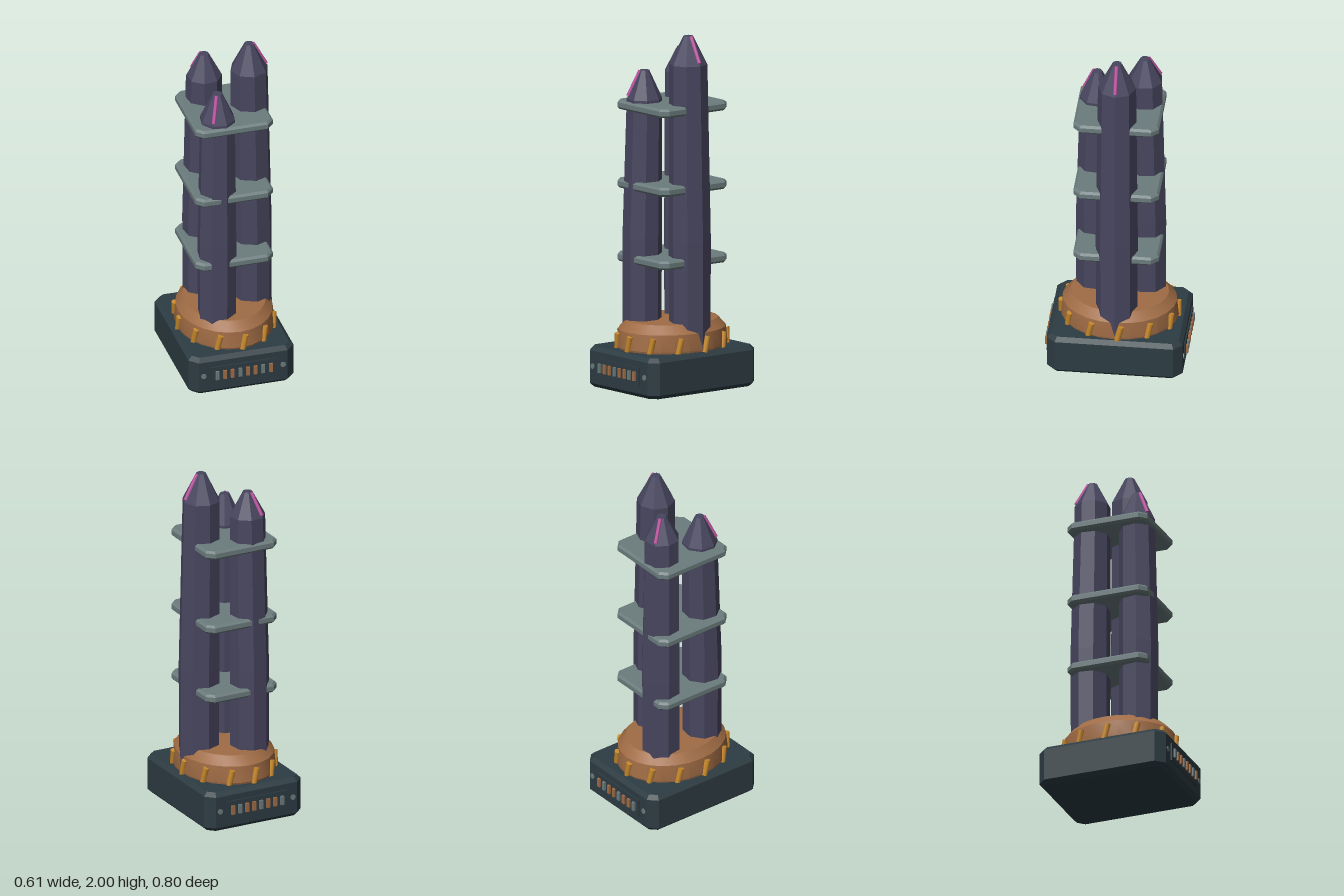
import * as THREE from 'three';
import { toCreasedNormals } from 'three/addons/utils/BufferGeometryUtils.js';

const mat = (name, color, flatShading = false) => {
  const m = new THREE.MeshStandardMaterial({ color, flatShading });
  m.name = name;
  return m;
};

// Slab with cut corners and bevelled rims, given by outer half sizes
function slab(hx, hz, y0, y1, cut, bevel) {
  const x = hx - bevel, z = hz - bevel, c = cut;
  const shape = new THREE.Shape([
    [x, -z + c], [x, z - c], [x - c, z], [-x + c, z],
    [-x, z - c], [-x, -z + c], [-x + c, -z], [x - c, -z],
  ].map(([a, b]) => new THREE.Vector2(a, b)));
  const g = new THREE.ExtrudeGeometry(shape, {
    depth: y1 - y0 - 2 * bevel, bevelEnabled: true, bevelSegments: 1,
    bevelSize: bevel, bevelThickness: bevel,
  });
  g.rotateX(-Math.PI / 2);
  g.translate(0, y0 + bevel, 0);
  return g;
}

export function createModel() {
  const model = new THREE.Group();
  const iron = mat('dark iron', 0x2d3c43);
  const steel = mat('grey steel', 0x6c7c7d);
  const copper = mat('copper', 0xa06c45);
  const brass = mat('brass', 0xc98a2c);
  const crystal = mat('dark crystal', 0x48465f, true);
  const glow = mat('pink glow', 0xc457a6);

  const add = (name, geo, material, parent = model) => {
    const m = new THREE.Mesh(geo, material);
    m.name = name;
    parent.add(m);
    return m;
  };
  // Rod running between two points
  const rod = (name, a, b, r, sides, material, parent) => {
    const d = b.clone().sub(a);
    const m = add(name, new THREE.CylinderGeometry(r, r, d.length(), sides), material, parent);
    m.position.copy(a).add(b).multiplyScalar(0.5);
    m.quaternion.setFromUnitVectors(new THREE.Vector3(0, 1, 0), d.normalize());
  };

  // Base block
  add('base', slab(0.305, 0.38, 0, 0.23, 0.035, 0.023), iron);

  // Vent panels on front and back
  for (const side of [1, -1]) {
    const vent = new THREE.Group();
    vent.name = side > 0 ? 'frontVent' : 'backVent';
    vent.scale.z = 1;
    add('ventPlate', new THREE.BoxGeometry(0.38, 0.105, 0.014), iron, vent)
      .position.set(0, 0.12, side * 0.381);
    for (let i = 0; i < 8; i++) {
      add('ventBar', new THREE.BoxGeometry(0.02, 0.052, 0.02), i % 3 === 0 ? steel : copper, vent)
        .position.set(-0.155 + i * 0.0443, 0.12, side * 0.39);
    }
    for (const x of [-0.23, 0.23]) {
      const bolt = add('bolt', new THREE.CylinderGeometry(0.016, 0.016, 0.012, 8), steel, vent);
      bolt.rotation.x = Math.PI / 2;
      bolt.position.set(x, 0.12, side * 0.379);
    }
    model.add(vent);
  }

  // Oval copper collar
  const collar = new THREE.LatheGeometry([
    [0.97, 0.21], [1, 0.24], [0.97, 0.335], [0.83, 0.385], [0, 0.39],
  ].map(([r, y]) => new THREE.Vector2(r, y)), 24);
  collar.scale(0.275, 1, 0.33);
  add('collar', toCreasedNormals(collar, 0.4), copper);

  // Slanted pegs around the collar
  for (let i = 0; i < 12; i++) {
    const at = (deg, y) => {
      const a = THREE.MathUtils.degToRad(deg + i * 30);
      return new THREE.Vector3(0.272 * Math.sin(a), y, 0.327 * Math.cos(a));
    };
    rod('peg', at(2.5, 0.225), at(6.5, 0.315), 0.017, 8, brass, model);
  }

  // Eight-sided crystal towers, leaning inward towards the top
  const towers = [
    { angle: 0, dist: 0.145, r: 0.107, shoulder: 1.84, top: 2.0 },
    { angle: 120, dist: 0.153, r: 0.101, shoulder: 1.755, top: 1.895 },
    { angle: 240, dist: 0.155, r: 0.1, shoulder: 1.63, top: 1.79 },
  ];
  for (const t of towers) {
    const tower = new THREE.Group();
    tower.name = 'tower';
    tower.rotation.y = THREE.MathUtils.degToRad(t.angle);
    const low = t.r + 0.009;
    const geo = new THREE.LatheGeometry([
      [low, 0.25], [low + 0.002, 0.85], [t.r, t.shoulder], [0.027, t.top], [0, t.top],
    ].map(([r, y]) => new THREE.Vector2(r, y)), 8);
    const p = geo.attributes.position;
    for (let i = 0; i < p.count; i++) {
      const f = THREE.MathUtils.clamp((p.getY(i) - 0.85) / (t.shoulder - 0.85), 0, 1);
      p.setX(i, p.getX(i) + t.dist + 0.013 * (1 - f));
    }
    add('crystalTower', geo, crystal, tower);
    // Glowing streak down the outer ridge of the tip
    const a = new THREE.Vector3(t.dist + 0.024, t.top - 0.003, 0);
    const b = new THREE.Vector3(t.dist + t.r, t.shoulder, 0);
    rod('glowStreak', a, a.clone().lerp(b, 0.9), 0.011, 6, glow, tower);
    model.add(tower);
  }

  // Bracing shelves
  for (const y of [0.705, 1.12, 1.565]) {
    add('shelf', slab(0.225, 0.24, y, y + 0.05, 0.033, 0.012), steel);
  }
  return model;
}
